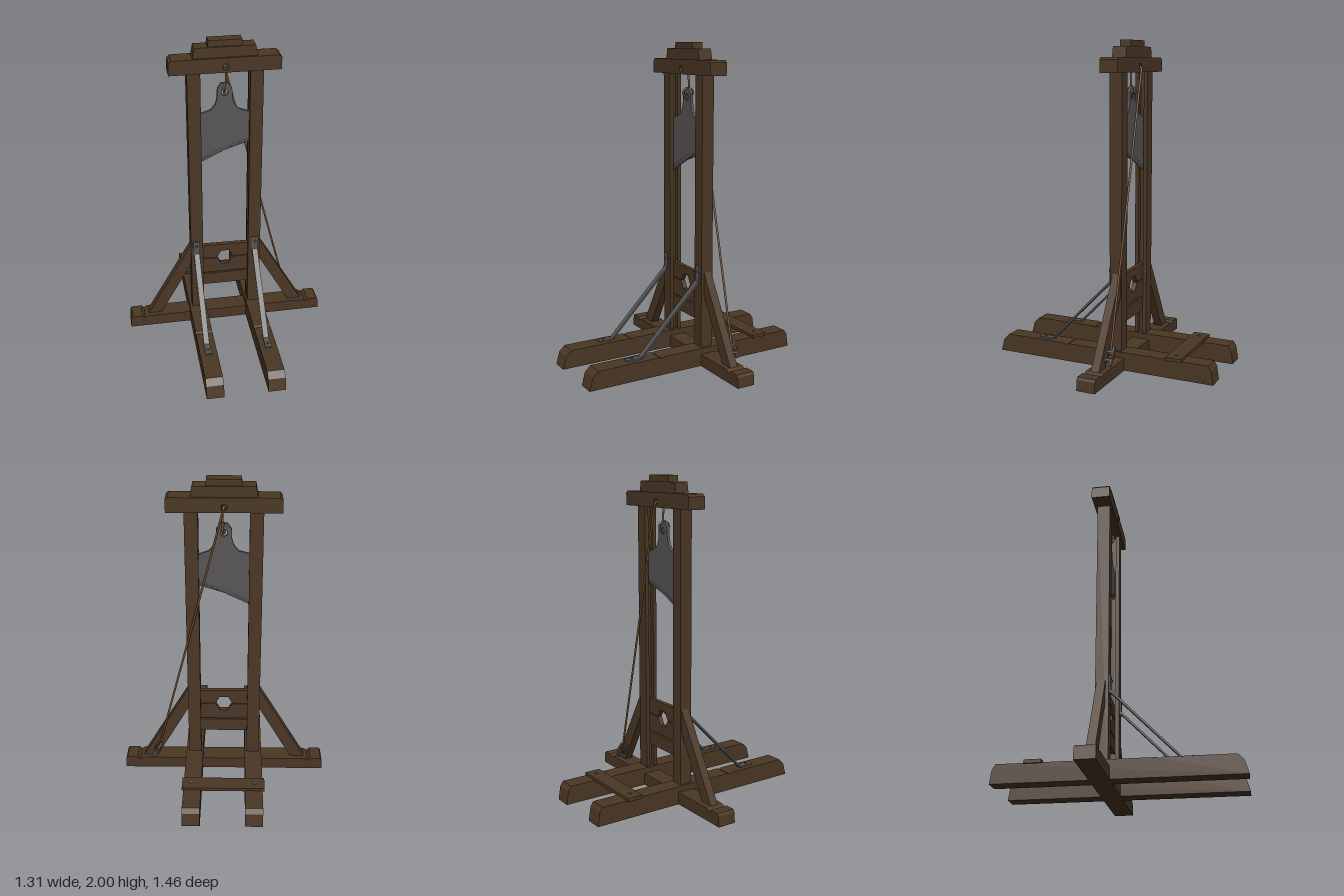
import * as THREE from 'three';

const mat = (name, color, side = THREE.FrontSide) => {
  const m = new THREE.MeshStandardMaterial({ color, side });
  m.name = name;
  return m;
};

export function createModel() {
  const root = new THREE.Group();
  root.name = 'guillotine';
  const wood = mat('dark wood', 0x4b3725);
  const metal = mat('dull iron', 0x575555);
  const rope = mat('brown rope', 0x70482c);

  const add = (name, geo, material) => {
    const mesh = new THREE.Mesh(geo, material);
    mesh.name = name;
    root.add(mesh);
    return mesh;
  };
  const box = (name, material, [x0, x1], [y0, y1], [z0, z1]) => {
    const mesh = add(name, new THREE.BoxGeometry(x1 - x0, y1 - y0, z1 - z0), material);
    mesh.position.set((x0 + x1) / 2, (y0 + y1) / 2, (z0 + z1) / 2);
    return mesh;
  };
  const toShape = (pts) => new THREE.Shape(pts.map(([x, y]) => new THREE.Vector2(x, y)));
  const ngon = (x, y, r, n) => {
    const pts = [];
    for (let i = 0; i < n; i++) {
      const a = (i / n) * Math.PI * 2;
      pts.push(new THREE.Vector2(x + r * Math.cos(a), y + r * Math.sin(a)));
    }
    return new THREE.Path(pts);
  };
  // Extrusion of an outline, centred on its depth
  const prism = (pts, depth, hole) => {
    const shape = toShape(pts);
    if (hole) shape.holes.push(hole);
    return new THREE.ExtrudeGeometry(shape, { depth, bevelEnabled: false }).translate(0, 0, -depth / 2);
  };
  // Outline in (z, y), extruded along x
  const sidePrism = (pts, width) => prism(pts, width).rotateY(-Math.PI / 2);
  const tube = (name, pts, segments, r = 0.007) => {
    const curve = new THREE.CatmullRomCurve3(pts.map((p) => new THREE.Vector3(...p)), false, 'centripetal');
    return add(name, new THREE.TubeGeometry(curve, segments, r, 6), rope);
  };
  const Z = -0.09; // plane of the frame

  // Cross beam of the base, notched for the braces
  const half = [[0.655, 0], [0.65, 0.065], [0.64, 0.08], [0.575, 0.08], [0.557, 0.064], [0.535, 0.078]];
  const beam = [...half, ...half.map(([x, y]) => [-x, y]).reverse()];
  add('crossBeam', prism(beam, 0.118), wood).position.z = -0.097;

  for (const s of [-1, 1]) {
    const side = s > 0 ? 'left' : 'right';

    // Long base skid with sloped ends
    add(side + 'Skid', sidePrism([
      [0.73, 0], [0.708, 0.08], [0.672, 0.115], [0.26, 0.115], [0.245, 0.108], [0.23, 0.115],
      [-0.695, 0.115], [-0.715, 0.085], [-0.728, 0],
    ], 0.11), wood).position.x = s * 0.193;

    // Grooved post
    const post = [[0.15, 0.05], [0.23, 0.05], [0.23, 0.13], [0.15, 0.13],
      [0.15, 0.106], [0.178, 0.106], [0.178, 0.074], [0.15, 0.074]].map(([x, y]) => [s * x, y]);
    const postGeo = prism(post, 1.815).rotateX(-Math.PI / 2);
    add(side + 'Post', postGeo, wood).position.y = 0.9075;

    // Slanted side brace
    const brace = [[0.22, 0.615], [0.535, 0.068], [0.445, 0.068], [0.22, 0.47]].map(([x, y]) => [s * x, y]);
    add(side + 'Brace', prism(brace, 0.052), wood).position.z = -0.095;

    // Iron strap from post to skid, with end plates
    const sx = s * 0.194;
    add(side + 'Strap', sidePrism([
      [-0.048, 0.535], [0.36, 0.117], [0.375, 0.117], [-0.04, 0.545],
    ], 0.036), metal).position.x = sx;
    box(side + 'PostPlate', metal, [sx - 0.022, sx + 0.022], [0.525, 0.637], [-0.05, -0.041]);
    box(side + 'SkidPlate', metal, [sx - 0.02, sx + 0.02], [0.115, 0.124], [0.36, 0.46]);
    const bolt = add(side + 'PostBolt', new THREE.CylinderGeometry(0.009, 0.009, 0.012, 8), metal);
    bolt.rotation.x = Math.PI / 2;
    bolt.position.set(sx, 0.605, -0.038);
    add(side + 'SkidBolt', new THREE.CylinderGeometry(0.009, 0.009, 0.01, 8), metal)
      .position.set(sx, 0.126, 0.425);
    add(side + 'PlankNail', new THREE.CylinderGeometry(0.01, 0.01, 0.01, 8), metal)
      .position.set(s * 0.2, 0.131, -0.48);
  }

  // Plank tying the skids at the back
  box('backPlank', wood, [-0.26, 0.257], [0.11, 0.132], [-0.53, -0.428]);

  // Three stacked cap blocks, the lowest pierced for the rope
  add('capBeam', prism([
    [-0.338, 1.808], [0.334, 1.808], [0.334, 1.885], [0.318, 1.898], [-0.32, 1.898], [-0.336, 1.882],
  ], 0.114, ngon(0, 1.842, 0.021, 6)), wood).position.z = -0.093;
  add('capMiddle', prism([
    [-0.195, 1.897], [0.193, 1.897], [0.18, 1.962], [-0.183, 1.962],
  ], 0.09), wood).position.z = -0.094;
  add('capTop', prism([
    [-0.105, 1.961], [0.103, 1.961], [0.1, 2], [-0.1, 2],
  ], 0.07), wood).position.z = -0.094;

  // Neck boards with a six-sided opening, and the plank under them
  const hx = 0.054, hy = 0.05, split = 0.48;
  add('upperNeckBoard', prism([
    [-0.17, split + 0.002], [-hx, split + 0.002], [-hx / 2, split + hy], [hx / 2, split + hy],
    [hx, split + 0.002], [0.17, split + 0.002], [0.17, 0.578], [-0.17, 0.582],
  ], 0.03), wood).position.z = Z;
  add('lowerNeckBoard', prism([
    [-0.17, 0.365], [0.17, 0.367], [0.17, split - 0.003], [hx, split - 0.003],
    [hx / 2, split - hy], [-hx / 2, split - hy], [-hx, split - 0.003], [-0.17, split - 0.003],
  ], 0.03), wood).position.z = Z;
  box('lowerPlank', wood, [-0.17, 0.17], [0.27, 0.356], [Z - 0.015, Z + 0.015]);

  // Blade plate with slanted lower edge and rope hole
  const edge = [[-0.172, 1.19], [0, 1.275], [0.172, 1.33]];
  const bevel = 0.036;
  add('blade', prism([
    ...edge.map(([x, y]) => [x, y + bevel]),
    [0.172, 1.53], [0.145, 1.53], [0.085, 1.553], [0.057, 1.59], [0.047, 1.63], [0.045, 1.69],
    [0.018, 1.725], [-0.02, 1.725], [-0.045, 1.69], [-0.047, 1.63], [-0.057, 1.59],
    [-0.085, 1.553], [-0.145, 1.535], [-0.172, 1.535],
  ], 0.018, ngon(0, 1.665, 0.022, 8)), metal).position.z = Z;

  // Sharpened strip, thinned towards the bottom
  const strip = prism([...edge, ...edge.map(([x, y]) => [x, y + bevel]).reverse()], 0.018);
  const p = strip.attributes.position;
  for (let i = 0; i < p.count; i++) {
    const x = p.getX(i);
    const low = x < -0.1 ? edge[0][1] : x > 0.1 ? edge[2][1] : edge[1][1];
    if (p.getY(i) < low + 0.01) p.setZ(i, p.getZ(i) * 0.08);
  }
  strip.computeVertexNormals();
  add('bladeEdge', strip, metal).position.z = Z;

  // Rope: loop through the blade, lift line, and line down to the cleat
  const loop = add('ropeLoop', new THREE.TorusGeometry(0.03, 0.007, 6, 14), rope);
  loop.rotation.y = Math.PI / 2 - 0.3;
  loop.position.set(0, 1.692, Z);
  tube('liftRope', [[0.008, 1.71, Z], [0.01, 1.76, Z], [0.004, 1.825, Z], [0, 1.842, -0.11],
    [0, 1.842, -0.145], [0.002, 1.83, -0.157]], 20);
  tube('haulRope', [[0.002, 1.835, -0.156], [0.21, 1.01, -0.152], [0.425, 0.17, -0.148]], 8);

  // Iron cleat on the back of the left brace, wound with rope
  const cleat = new THREE.Group();
  cleat.name = 'cleat';
  cleat.position.set(0.437, 0.155, -0.145);
  cleat.rotation.z = 0.52;
  root.add(cleat);
  const part = (name, geo, m, x, y, z) => {
    const mesh = new THREE.Mesh(geo, m);
    mesh.name = name;
    mesh.position.set(x, y, z);
    cleat.add(mesh);
    return mesh;
  };
  part('cleatBar', new THREE.BoxGeometry(0.018, 0.12, 0.012), metal, 0, 0, -0.02);
  part('cleatPlate', new THREE.BoxGeometry(0.026, 0.085, 0.008), metal, 0, 0, 0.022);
  for (const s of [-1, 1]) {
    part('cleatPeg', new THREE.BoxGeometry(0.014, 0.014, 0.042), metal, 0, s * 0.024, 0.003);
    const wrap = part('ropeWrap', new THREE.TorusGeometry(0.024, 0.006, 5, 12), rope, 0, s * 0.006, -0.012);
    wrap.rotation.set(Math.PI / 2, s * 0.35, 0);
    wrap.scale.set(0.8, 0.8, 1);
  }
  return root;
}
